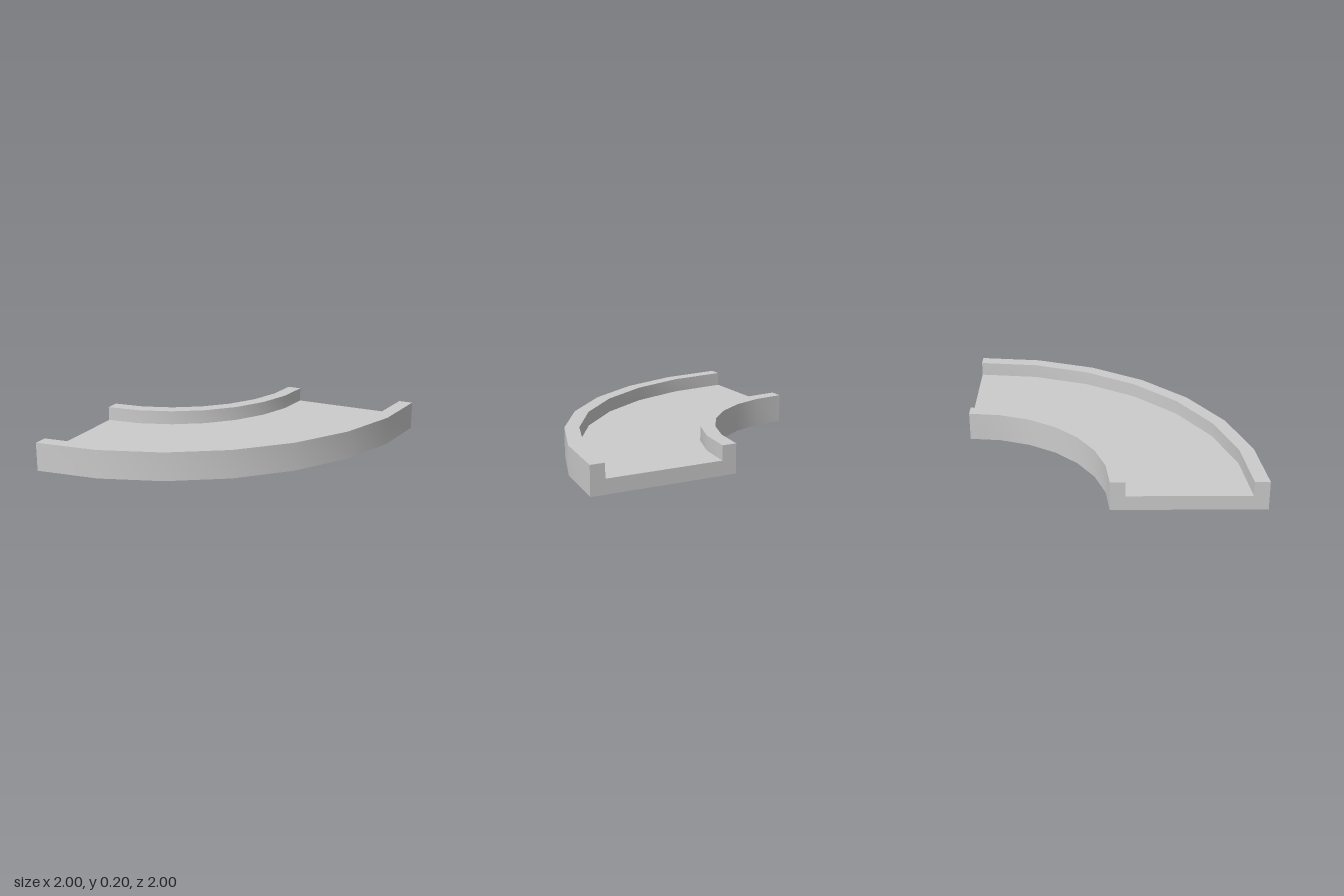
import * as THREE from 'three';
import { toCreasedNormals } from 'three/addons/utils/BufferGeometryUtils.js';

// Quarter-turn channel piece: a U-shaped section swept about the corner (-1, -1)
const INNER = 0.99, OUTER = 2, WALL = 0.1, FLOOR = 0.1, HEIGHT = 0.2, SEGMENTS = 7;

export function createModel() {
  const group = new THREE.Group();
  group.name = 'curvedTrack';
  const material = new THREE.MeshStandardMaterial({ color: 0xcccccc });

  // Cross-section (radius, height), counter-clockwise
  const section = [
    [INNER, 0], [OUTER, 0], [OUTER, HEIGHT], [OUTER - WALL, HEIGHT],
    [OUTER - WALL, FLOOR], [INNER + WALL, FLOOR], [INNER + WALL, HEIGHT], [INNER, HEIGHT],
  ].map(([r, y]) => new THREE.Vector2(r, y));

  const add = (name, geometry) => {
    const mesh = new THREE.Mesh(geometry, material);
    mesh.name = name;
    mesh.position.set(-1, 0, -1);
    group.add(mesh);
  };

  // Floor and both curbs, smooth along the curve and sharp at the section corners
  const sweep = new THREE.LatheGeometry([...section, section[0].clone()], SEGMENTS, 0, Math.PI / 2);
  add('channelBody', toCreasedNormals(sweep, 0.6));

  // Flat end faces: one facing -x, one facing -z
  add('rightEnd', new THREE.ShapeGeometry(new THREE.Shape(section)).rotateY(-Math.PI / 2));
  const mirrored = section.map((p) => new THREE.Vector2(-p.x, p.y));
  add('backEnd', new THREE.ShapeGeometry(new THREE.Shape(mirrored)).rotateY(Math.PI));

  return group;
}
